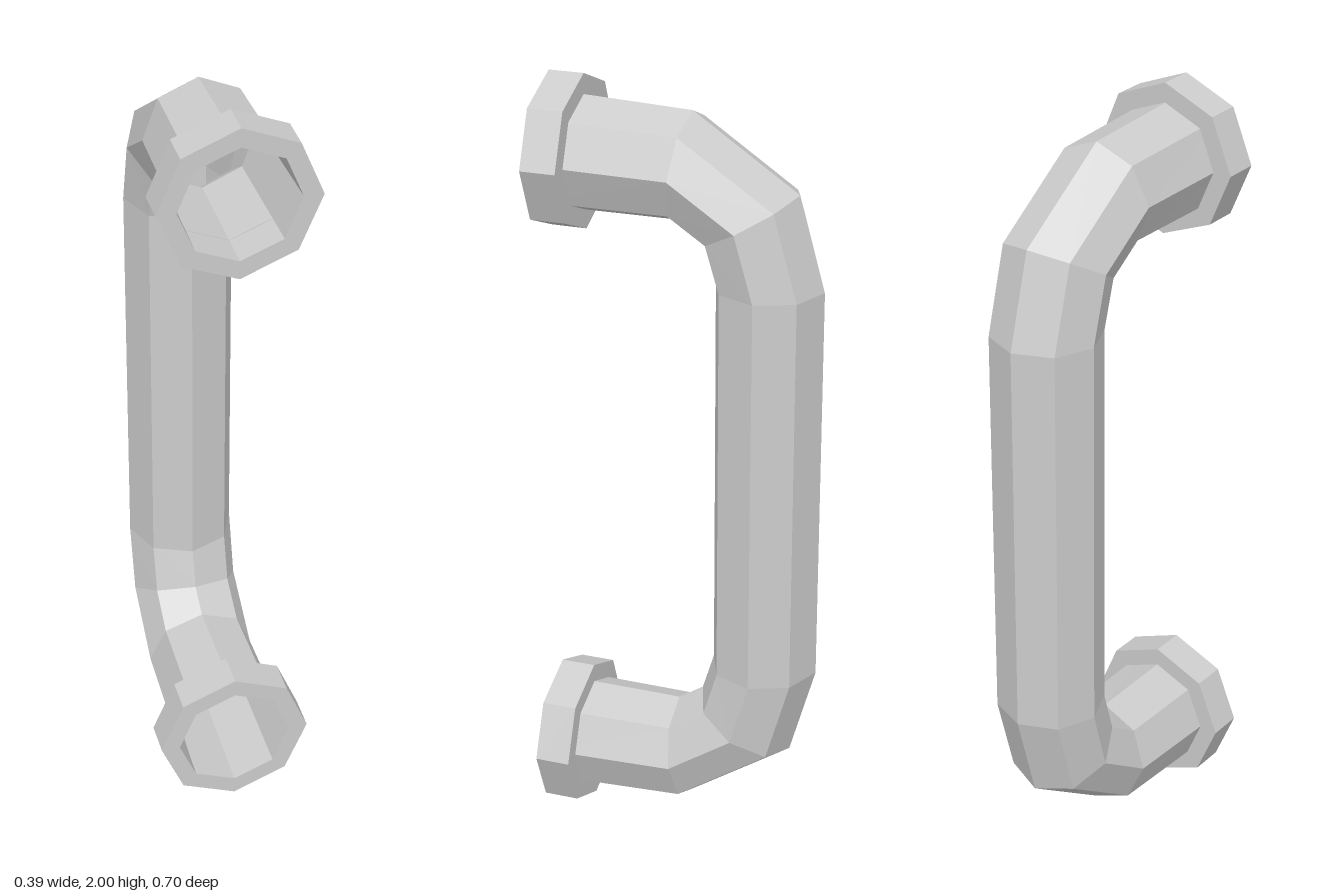
import * as THREE from 'three';

const SIDES = 8;

// Joins octagonal rings, each given by its outer and inner [z, y] point, into an open tube.
function tubeFromRings(rings) {
  const positions = [];
  const index = [];
  for (const { outer, inner, halfWidth } of rings) {
    const cz = (outer[0] + inner[0]) / 2, cy = (outer[1] + inner[1]) / 2;
    for (let i = 0; i < SIDES; i++) {
      const a = (i / SIDES) * Math.PI * 2;
      const c = Math.cos(a);
      positions.push(halfWidth * Math.sin(a), cy + c * (outer[1] - cy), cz + c * (outer[0] - cz));
    }
  }
  for (let r = 0; r < rings.length - 1; r++) {
    for (let i = 0; i < SIDES; i++) {
      const a = r * SIDES + i, b = r * SIDES + (i + 1) % SIDES;
      index.push(a, b, a + SIDES, b, b + SIDES, a + SIDES);
    }
  }
  const geometry = new THREE.BufferGeometry();
  geometry.setAttribute('position', new THREE.Float32BufferAttribute(positions, 3));
  geometry.setIndex(index);
  geometry.computeVertexNormals();
  return geometry;
}

export function createModel() {
  const group = new THREE.Group();
  group.name = 'pullHandle';
  const material = new THREE.MeshStandardMaterial({
    color: 0xcccccc, flatShading: true, side: THREE.DoubleSide,
  });

  // Hollow bent bar: upper half, then the same rings mirrored about y = 1
  const upper = [
    { outer: [0.35, 1.952], inner: [0.35, 1.658], halfWidth: 0.147 },
    { outer: [-0.015, 1.936], inner: [0.02, 1.66], halfWidth: 0.139 },
    { outer: [-0.284, 1.755], inner: [-0.045, 1.617], halfWidth: 0.138 },
    { outer: [-0.35, 1.518], inner: [-0.075, 1.518], halfWidth: 0.138 },
  ];
  const flip = ([z, y]) => [z, 2 - y];
  const lower = upper.map((r) => ({ ...r, outer: flip(r.outer), inner: flip(r.inner) })).reverse();
  const bar = new THREE.Mesh(tubeFromRings([...upper, ...lower]), material);
  bar.name = 'bar';
  group.add(bar);

  // Octagonal mounting flanges around the open ends
  const profile = [[0.145, 0.26], [0.195, 0.26], [0.195, 0.35], [0.147, 0.35]]
    .map(([x, y]) => new THREE.Vector2(x, y));
  const flangeGeometry = new THREE.LatheGeometry(profile, SIDES).rotateX(Math.PI / 2);
  for (const [name, y] of [['upperFlange', 1.805], ['lowerFlange', 0.195]]) {
    const flange = new THREE.Mesh(flangeGeometry, material);
    flange.name = name;
    flange.position.y = y;
    group.add(flange);
  }
  return group;
}
